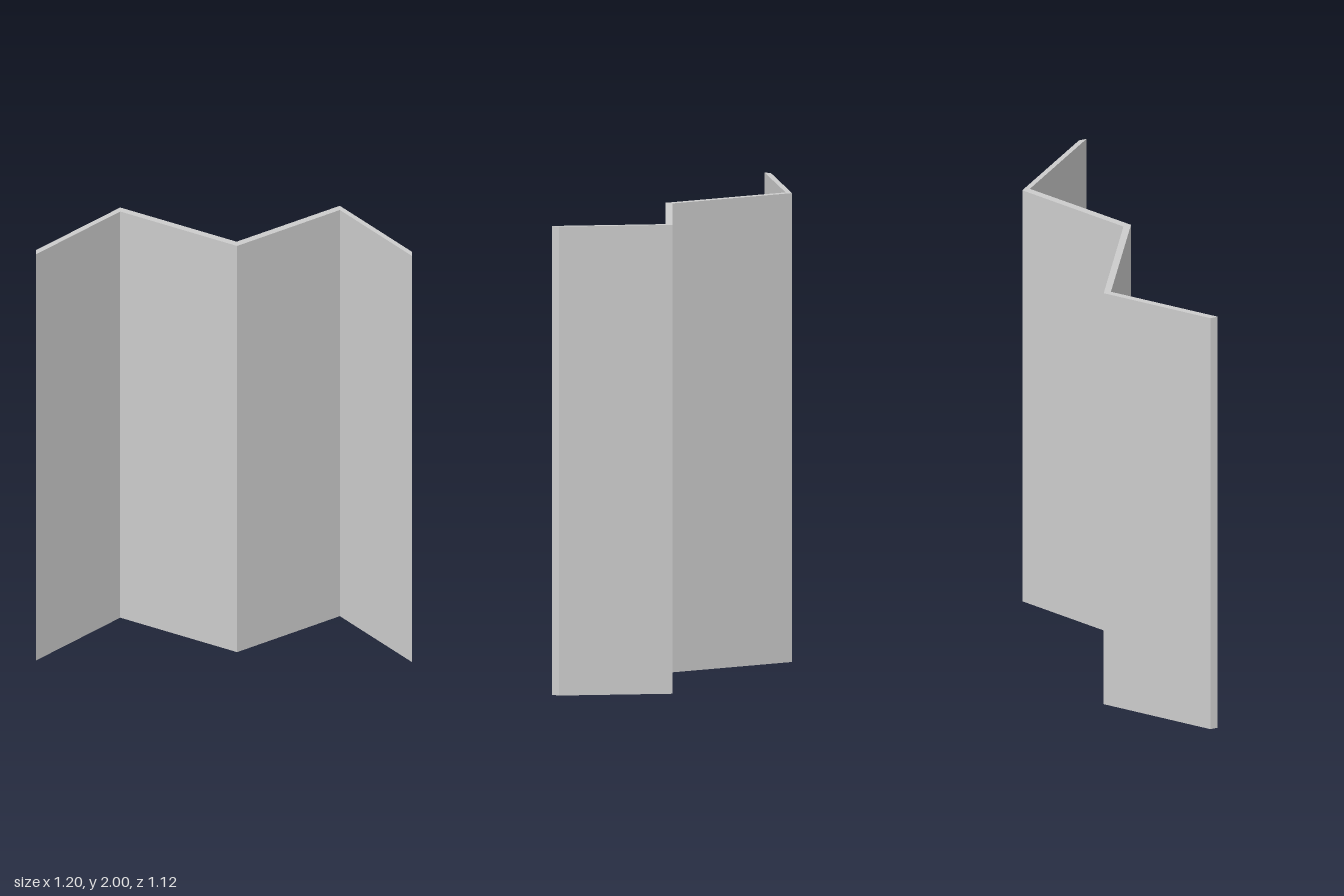
import * as THREE from 'three';

const HEIGHT = 2;

// Plan of the folding screen as [x, z], from its right end to its left end
const BACK_EDGE = [[-0.58, -0.548], [-0.086, -0.561], [0.087, -0.027], [0.602, 0.054], [0.574, 0.532]];
const FRONT_EDGE = [[-0.602, -0.523], [-0.108, -0.537], [0.065, 0], [0.579, 0.079], [0.551, 0.558]];

export function createModel() {
  const group = new THREE.Group();
  group.name = 'foldingScreen';

  // Closed zigzag outline; shape y is -z so the extrusion can be stood upright
  const outline = [...BACK_EDGE, ...FRONT_EDGE.slice().reverse()]
    .map(([x, z]) => new THREE.Vector2(x, -z));
  const geometry = new THREE.ExtrudeGeometry(new THREE.Shape(outline), {
    depth: HEIGHT,
    bevelEnabled: false,
  });
  geometry.rotateX(-Math.PI / 2);

  // Four mitred panels joined into one folded sheet
  const material = new THREE.MeshStandardMaterial({ color: 0xcccccc, flatShading: true });
  const panels = new THREE.Mesh(geometry, material);
  panels.name = 'foldedPanels';
  group.add(panels);

  return group;
}
